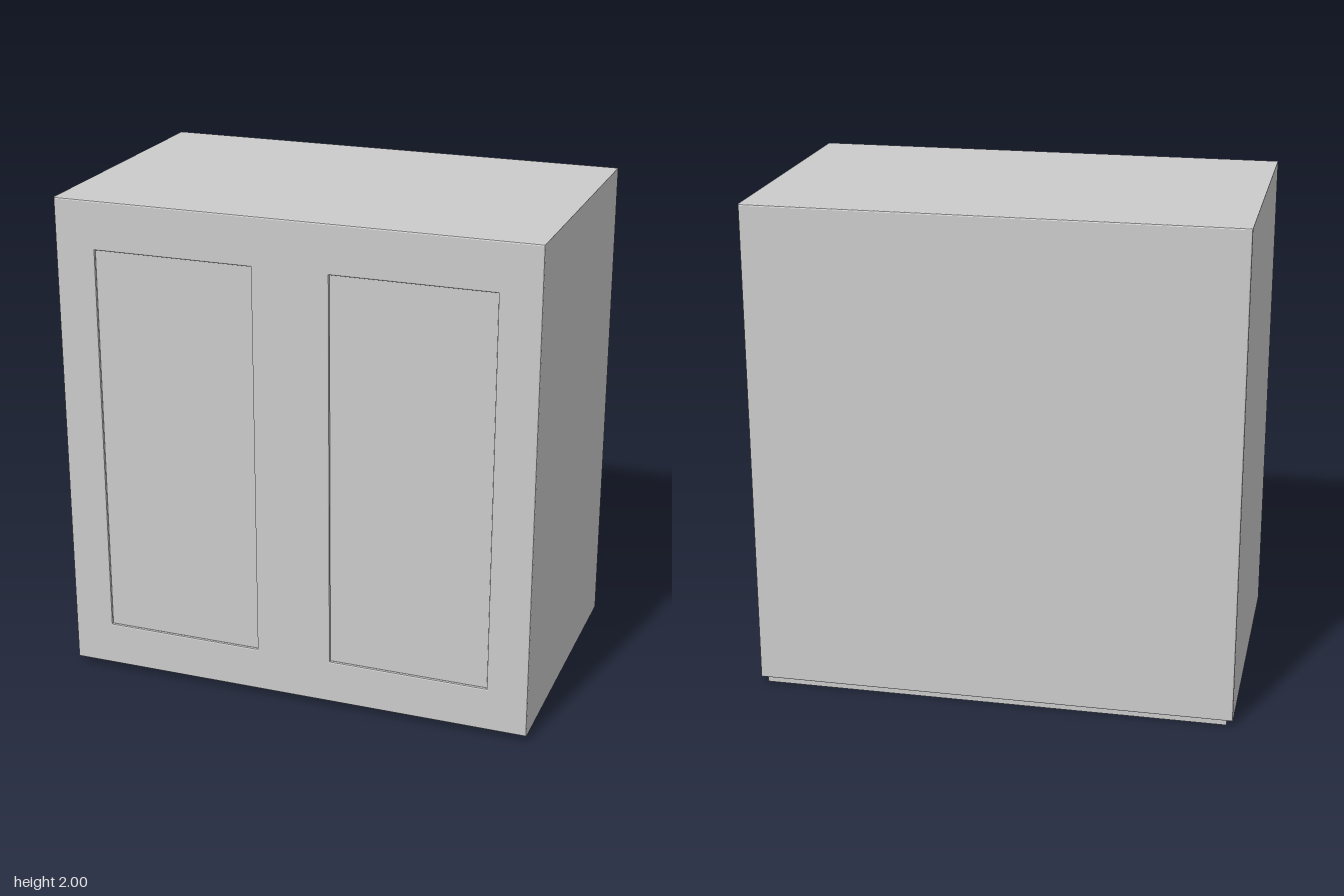
import * as THREE from 'three';

const HALF_W = 0.965, HALF_D = 0.595, BOTTOM = 0.025, TOP = 2;
const BEVEL = 0.006, RECESS = 0.015;

function rect(PathType, x0, y0, x1, y1) {
  return new PathType([[x0, y0], [x1, y0], [x1, y1], [x0, y1]].map(([x, y]) => new THREE.Vector2(x, y)));
}

// Slab from z0 to z1 with softened edges; the end chosen by squareSide is kept square so slabs join flush.
function slab(shape, z0, z1, squareSide) {
  const geo = new THREE.ExtrudeGeometry(shape, {
    depth: z1 - z0 - 2 * BEVEL, bevelEnabled: true, bevelSegments: 2,
    bevelThickness: BEVEL, bevelSize: BEVEL, bevelOffset: -BEVEL,
  });
  geo.translate(0, 0, z0 + BEVEL);
  const p = geo.attributes.position, mid = (z0 + z1) / 2;
  for (let i = 0; i < p.count; i++) {
    if ((p.getZ(i) - mid) * squareSide < 0) continue;
    const x = p.getX(i), y = p.getY(i);
    if (Math.abs(x) > HALF_W - 0.02) p.setX(i, Math.sign(x) * HALF_W);
    if (y > TOP - 0.02) p.setY(i, TOP);
    if (y < BOTTOM + 0.02) p.setY(i, BOTTOM);
  }
  geo.computeVertexNormals();
  return geo;
}

export function createModel() {
  const model = new THREE.Group();
  model.name = 'cabinet';
  const material = new THREE.MeshStandardMaterial({ color: 0xcccccc });
  const add = (name, geometry) => {
    const mesh = new THREE.Mesh(geometry, material);
    mesh.name = name;
    model.add(mesh);
    return mesh;
  };

  // Solid body; its front face is the floor of the recessed panels
  const outline = () => rect(THREE.Shape, -HALF_W, BOTTOM, HALF_W, TOP);
  add('body', slab(outline(), -HALF_D, HALF_D - RECESS, 1));

  // Front frame with two tall openings
  const frame = outline();
  for (const side of [-1, 1]) {
    const cx = side * 0.478;
    frame.holes.push(rect(THREE.Path, cx - 0.323, 0.204, cx + 0.323, 1.804));
  }
  add('frontFrame', slab(frame, HALF_D - RECESS, HALF_D, -1));

  // Low plinth, set back at the front
  const plinth = add('plinth', new THREE.BoxGeometry(1.88, BOTTOM, 1.035));
  plinth.position.set(0, BOTTOM / 2, -0.0625);

  return model;
}
